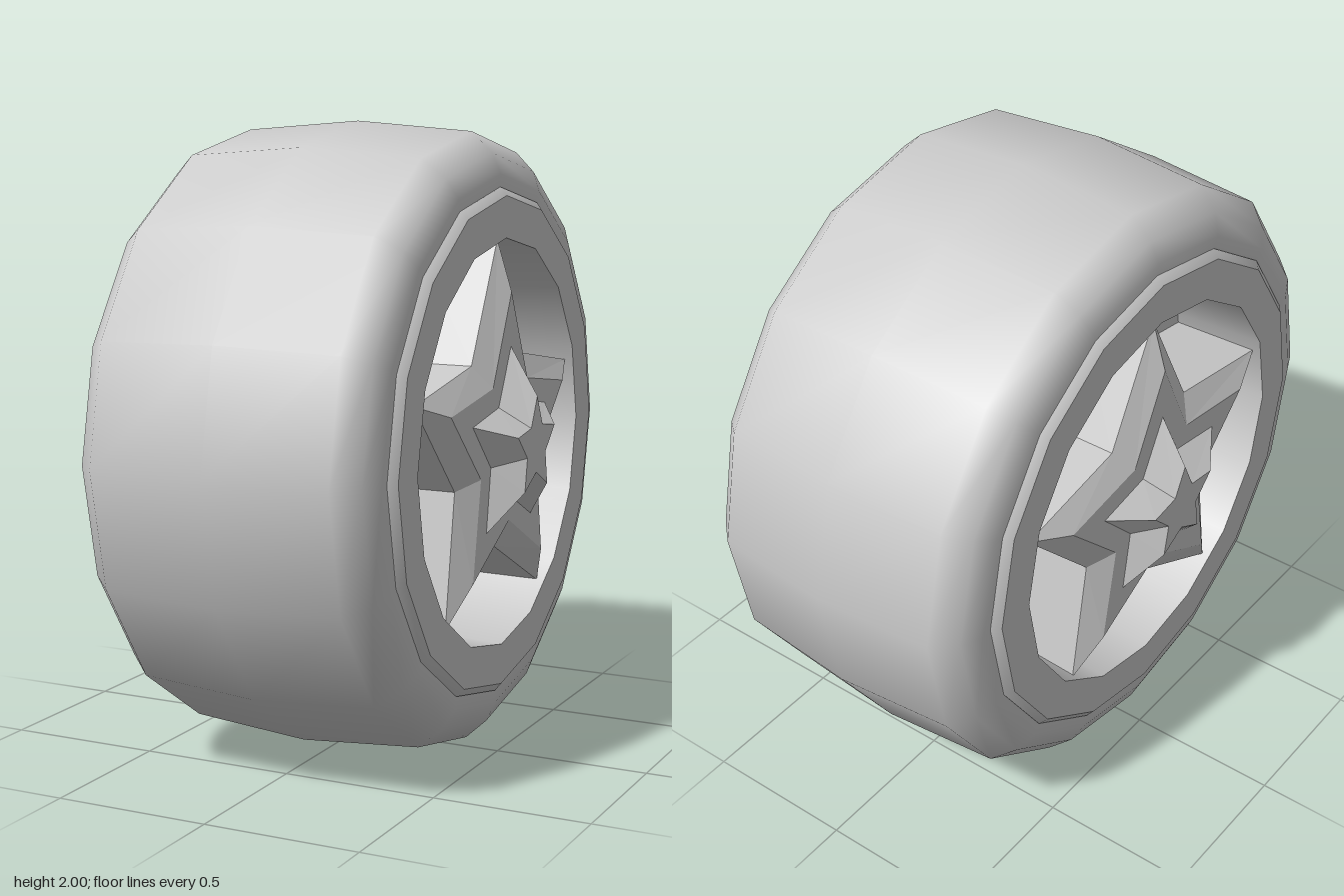
import * as THREE from 'three';

const SIDES = 16;
const material = new THREE.MeshStandardMaterial({ color: 0xcccccc });
const flatMaterial = new THREE.MeshStandardMaterial({ color: 0xcccccc, flatShading: true });

// Surface of revolution around the x axis; profile points are [x, radius]
function revolve(name, profile) {
  const points = profile.map(([x, r]) => new THREE.Vector2(r, x));
  const geometry = new THREE.LatheGeometry(points, SIDES);
  geometry.rotateZ(-Math.PI / 2);
  const mesh = new THREE.Mesh(geometry, material);
  mesh.name = name;
  return mesh;
}

// Five-pointed star lofted along x; each ring is [x, tip radius, valley radius]
function star(name, rings) {
  const positions = [];
  const point = ([x, tip, valley], k) => {
    const a = (k * Math.PI) / 5;
    const r = k % 2 ? valley : tip;
    return [x, r * Math.cos(a), r * Math.sin(a)];
  };
  const top = rings[rings.length - 1];
  for (let k = 0; k < 10; k++) {
    for (let i = 0; i < rings.length - 1; i++) {
      const a = point(rings[i], k), b = point(rings[i], k + 1);
      const c = point(rings[i + 1], k), d = point(rings[i + 1], k + 1);
      positions.push(...a, ...b, ...d, ...a, ...d, ...c);
    }
    positions.push(top[0], 0, 0, ...point(top, k), ...point(top, k + 1));
  }
  const geometry = new THREE.BufferGeometry();
  geometry.setAttribute('position', new THREE.Float32BufferAttribute(positions, 3));
  geometry.computeVertexNormals();
  const mesh = new THREE.Mesh(geometry, flatMaterial);
  mesh.name = name;
  return mesh;
}

// One face of the wheel, pointing to +x
function wheelFace(name) {
  const face = new THREE.Group();
  face.name = name;
  face.add(
    revolve('rimBevel', [[0.48, 0.8], [0.49, 0.8], [0.51, 0.775]]),
    revolve('rimFace', [[0.51, 0.775], [0.51, 0.645]]),
    revolve('rimBarrel', [[0.51, 0.645], [0.2, 0.63]]),
    revolve('hubDisc', [[0.2, 0.63], [0.2, 0]]),
    star('spokeStar', [[0.2, 0.64, 0.33], [0.48, 0.64, 0.33], [0.53, 0.48, 0.24]]),
    star('hubStar', [[0.53, 0.31, 0.16], [0.62, 0.16, 0.08]])
  );
  return face;
}

export function createModel() {
  const wheel = new THREE.Group();
  wheel.name = 'wheel';

  // Rounded tyre, slightly crowned in the middle
  const half = [[0, 1], [0.39, 0.97], [0.46, 0.905], [0.49, 0.84], [0.485, 0.78]];
  const mirrored = half.slice(1).reverse().map(([x, r]) => [-x, r]);
  wheel.add(revolve('tyre', [...mirrored, ...half]));

  // Matching faces on both sides
  const left = wheelFace('leftFace');
  const right = wheelFace('rightFace');
  right.rotation.y = Math.PI;
  wheel.add(left, right);

  wheel.position.y = 1;
  const model = new THREE.Group();
  model.name = 'starWheel';
  model.add(wheel);
  return model;
}
